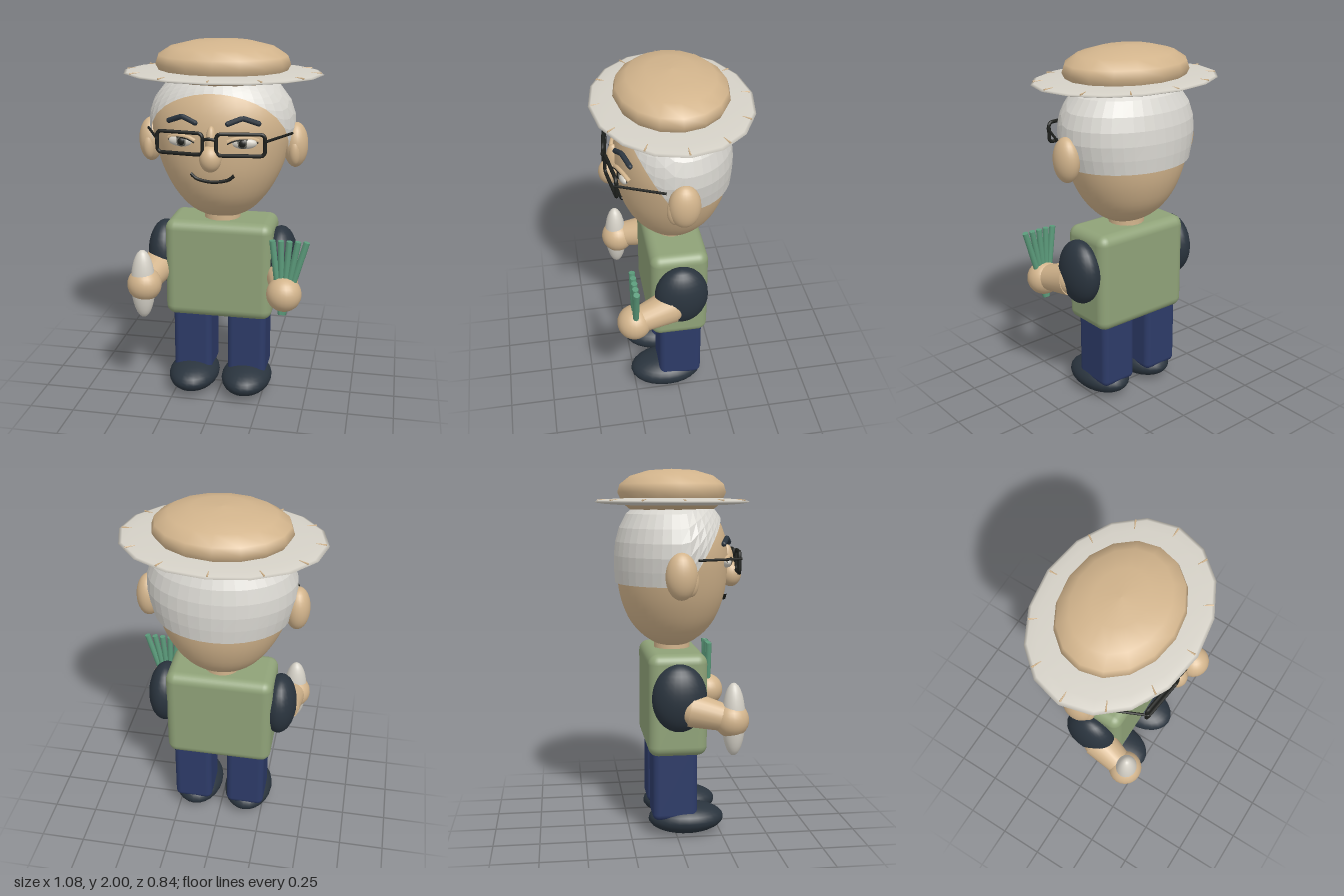
import * as THREE from 'three';
import { mergeVertices } from 'three/addons/utils/BufferGeometryUtils.js';
import { RoundedBoxGeometry } from 'three/addons/geometries/RoundedBoxGeometry.js';

const mat = (name, color, extra = {}) => new THREE.MeshStandardMaterial({ name, color, ...extra });

// Head cross-sections: half width, height, half depth
const headCurve = new THREE.CatmullRomCurve3([
  [0, 1.015, 0], [0.137, 1.066, 0.115], [0.2, 1.115, 0.18], [0.257, 1.185, 0.235], [0.305, 1.27, 0.272],
  [0.338, 1.35, 0.292], [0.367, 1.45, 0.302], [0.384, 1.55, 0.302], [0.367, 1.66, 0.283],
  [0.3, 1.76, 0.235], [0.2, 1.83, 0.16], [0, 1.87, 0],
].map((p) => new THREE.Vector3(...p)));

// Half width and depth of the head at a height
function headAt(y) {
  let lo = 0, hi = 1;
  for (let i = 0; i < 30; i++) {
    const mid = (lo + hi) / 2;
    if (headCurve.getPoint(mid).y < y) lo = mid; else hi = mid;
  }
  return headCurve.getPoint(lo);
}

// Depth of the face surface at x, y
function faceZ(x, y) {
  const p = headAt(y);
  return p.z * Math.sqrt(Math.max(0, 1 - (x / p.x) ** 2));
}

// Grid surface from a function of column and row
function gridSurface(cols, rows, point) {
  const pos = [], idx = [];
  for (let j = 0; j <= rows; j++) {
    for (let i = 0; i <= cols; i++) {
      pos.push(...point(i / cols, j / rows));
      if (i < cols && j < rows) {
        const a = j * (cols + 1) + i, b = a + cols + 1;
        idx.push(a, a + 1, b + 1, a, b + 1, b);
      }
    }
  }
  const g = new THREE.BufferGeometry();
  g.setAttribute('position', new THREE.Float32BufferAttribute(pos, 3));
  g.setIndex(idx);
  return g;
}

export function createModel() {
  const skin = mat('skin', 0xd2b48c);
  const white = mat('white', 0xd5d1c7);
  const hairWhite = mat('hairWhite', 0xd8d6d0, { side: THREE.DoubleSide });
  const green = mat('shirtGreen', 0x8fa278);
  const slate = mat('slate', 0x2a343e);
  const denim = mat('denim', 0x2d3b68);
  const leek = mat('stalkGreen', 0x5c9c7c);
  const black = mat('black', 0x1d1f1c);
  const grey = mat('irisGrey', 0x66665e);

  const model = new THREE.Group();
  model.name = 'gardener';
  const add = (name, geometry, material, x = 0, y = 0, z = 0) => {
    const m = new THREE.Mesh(geometry, material);
    m.name = name;
    m.position.set(x, y, z);
    model.add(m);
    return m;
  };
  const ball = (name, material, c, r, w = 24, h = 16) => {
    const m = add(name, new THREE.SphereGeometry(1, w, h), material, ...c);
    m.scale.set(...r);
    return m;
  };
  const tube = (name, material, pts, r, closed = false, tension = 0.5) => add(name, new THREE.TubeGeometry(
    new THREE.CatmullRomCurve3(pts.map((p) => new THREE.Vector3(...p)), closed, 'catmullrom', tension),
    closed ? 64 : 16, r, 8, closed), material);
  // Tapered rod between two points
  const rod = (name, material, a, b, ra, rb, sides = 8) => {
    const A = new THREE.Vector3(...a), B = new THREE.Vector3(...b), d = B.clone().sub(A);
    const m = add(name, new THREE.CylinderGeometry(rb, ra, d.length(), sides), material,
      ...A.clone().add(B).multiplyScalar(0.5));
    m.quaternion.setFromUnitVectors(new THREE.Vector3(0, 1, 0), d.normalize());
    return m;
  };

  // Torso and neck
  add('torso', new RoundedBoxGeometry(0.6, 0.56, 0.32, 4, 0.055), green, 0, 0.748, 0);
  add('neck', new THREE.CylinderGeometry(0.1, 0.1, 0.08, 20), skin, 0, 1.04, 0);

  // Head
  const head = mergeVertices(gridSurface(36, 28, (u, v) => {
    const p = headCurve.getPoint(v), a = u * Math.PI * 2;
    return [p.x * Math.sin(a), p.y, p.z * Math.cos(a)];
  }), 1e-5);
  head.computeVertexNormals();
  add('head', head, skin);

  // Faceted hair shell, cut by a sloping hairline and a level nape
  const hairPoint = (a, y) => {
    const p = headAt(y);
    return [(p.x + 0.015) * Math.sin(a), y, (p.z + 0.015) * Math.cos(a)];
  };
  const hairline = (a) => {
    let lo = 1.39, hi = 1.8;
    for (let i = 0; i < 20; i++) {
      const y = (lo + hi) / 2;
      if (hairPoint(a, y)[2] > 0.11 + 0.61 * (y - 1.51)) lo = y; else hi = y;
    }
    return lo < 1.3901 ? 1.39 : lo;
  };
  const hair = gridSurface(40, 6, (u, v) => {
    const a = u * Math.PI * 2, low = hairline(a);
    return hairPoint(a, low + (1.835 - low) * v);
  }).toNonIndexed();
  hair.computeVertexNormals();
  add('hair', hair, hairWhite);

  // Hat crown, brim and radial stitches
  const crown = [[0, 1.783], [0.28, 1.783], [0.335, 1.82], [0.365, 1.875], [0.35, 1.918],
    [0.28, 1.962], [0.16, 1.991], [0, 2]].map((p) => new THREE.Vector2(...p));
  add('hatCrown', new THREE.LatheGeometry(crown, 16), skin).scale.z = 0.81;
  ball('hatBrim', white, [0, 1.825, 0], [0.54, 0.024, 0.42], 16, 12);
  for (let i = 0; i < 12; i++) {
    const c = Math.cos(i * Math.PI / 6), s = Math.sin(i * Math.PI / 6);
    rod('brimStitch', skin, [c * 0.47, 1.836, s * 0.36], [c * 0.525, 1.832, s * 0.405], 0.002, 0.005, 6);
  }

  // Nose and mouth
  ball('noseTip', skin, [0, 1.43, 0.33], [0.057, 0.07, 0.058]);
  ball('noseBridge', skin, [0, 1.5, 0.305], [0.03, 0.095, 0.04]);
  const smile = [[-0.115, 1.335], [-0.08, 1.308], [0, 1.296], [0.08, 1.308], [0.115, 1.335]];
  tube('mouth', black, smile.map(([x, y]) => [x, y, faceZ(x, y) + 0.006]), 0.009);

  for (const s of [-1, 1]) {
    // Ear
    ball('ear', skin, [s * 0.4, 1.45, 0], [0.066, 0.122, 0.083]);
    ball('innerEar', skin, [s * 0.4, 1.425, 0.045], [0.035, 0.08, 0.045]);

    // Eye
    ball('eyeWhite', white, [s * 0.16, 1.507, 0.272], [0.072, 0.031, 0.028]);
    ball('iris', grey, [s * 0.16, 1.508, 0.288], [0.031, 0.028, 0.016]);
    ball('pupil', black, [s * 0.16, 1.508, 0.296], [0.02, 0.02, 0.011]);
    const lid = [[0.085, 1.515], [0.12, 1.53], [0.16, 1.535], [0.2, 1.53], [0.235, 1.515]];
    tube('eyelid', skin, lid.map(([x, y]) => [s * x, y, faceZ(x, y) + 0.012]), 0.012);
    tube('lashLine', black, lid.map(([x, y]) => [s * x, y - 0.007, faceZ(x, y) + 0.022]), 0.004);

    // Eyebrow
    const brow = [[0.085, 1.608], [0.15, 1.632], [0.165, 1.632], [0.235, 1.605]];
    tube('eyebrow', slate, brow.map(([x, y]) => [s * x, y, faceZ(x, y) + 0.014]), 0.014);
    for (const [x, y] of [brow[0], brow[3]])
      ball('eyebrowEnd', slate, [s * x, y, faceZ(x, y) + 0.014], [0.014, 0.014, 0.014], 8, 6);

    // Spectacle rim, angled back at the outer end, with its temple
    const rim = [];
    for (const [cx, cy] of [[1, 1], [-1, 1], [-1, -1], [1, -1]]) {
      const k = [[cx * 0.105, cy * 0.055], [cx * 0.122, cy * 0.038]];
      if (cx * cy > 0) k.reverse();
      for (const [dx, dy] of k) rim.push([s * (0.158 + dx), 1.51 + dy, 0.338 - dx * 0.13]);
    }
    tube('spectacleRim', black, rim, 0.01, true, 0.12);
    rod('temple', black, [s * 0.28, 1.53, 0.335], [s * 0.39, 1.53, 0.09], 0.007, 0.007);

    // Sleeve, forearm and hand
    ball('sleeve', slate, [s * 0.33, 0.803, 0], [0.095, 0.182, 0.147]);
    rod('forearm', skin, [s * 0.345, 0.745, 0.06], [s * 0.385, 0.7, 0.25], 0.095, 0.07, 20);
    ball('forearmEnd', skin, [s * 0.348, 0.745, 0.07], [0.09, 0.09, 0.09]);
    ball('hand', skin, [s * 0.385, 0.693, 0.268], [0.095, 0.095, 0.093]);

    // Leg and shoe
    add('leg', new RoundedBoxGeometry(0.22, 0.42, 0.245, 3, 0.035), denim, s * 0.156, 0.31, -0.012);
    ball('shoe', slate, [s * 0.154, 0.086, 0.06], [0.143, 0.085, 0.21]);
  }
  tube('spectacleBridge', black, [[-0.04, 1.53, 0.352], [0, 1.54, 0.362], [0.04, 1.53, 0.352]], 0.008);

  // White radish in the right hand
  ball('radish', white, [-0.39, 0.697, 0.278], [0.067, 0.196, 0.062]);

  // Fan of green stalks in the left hand
  for (let i = 0; i < 5; i++)
    rod('stalk', leek, [0.37 + i * 0.003, 0.575, 0.265], [0.318 + i * 0.0455, 0.99, 0.265], 0.016, 0.017);

  return model;
}
